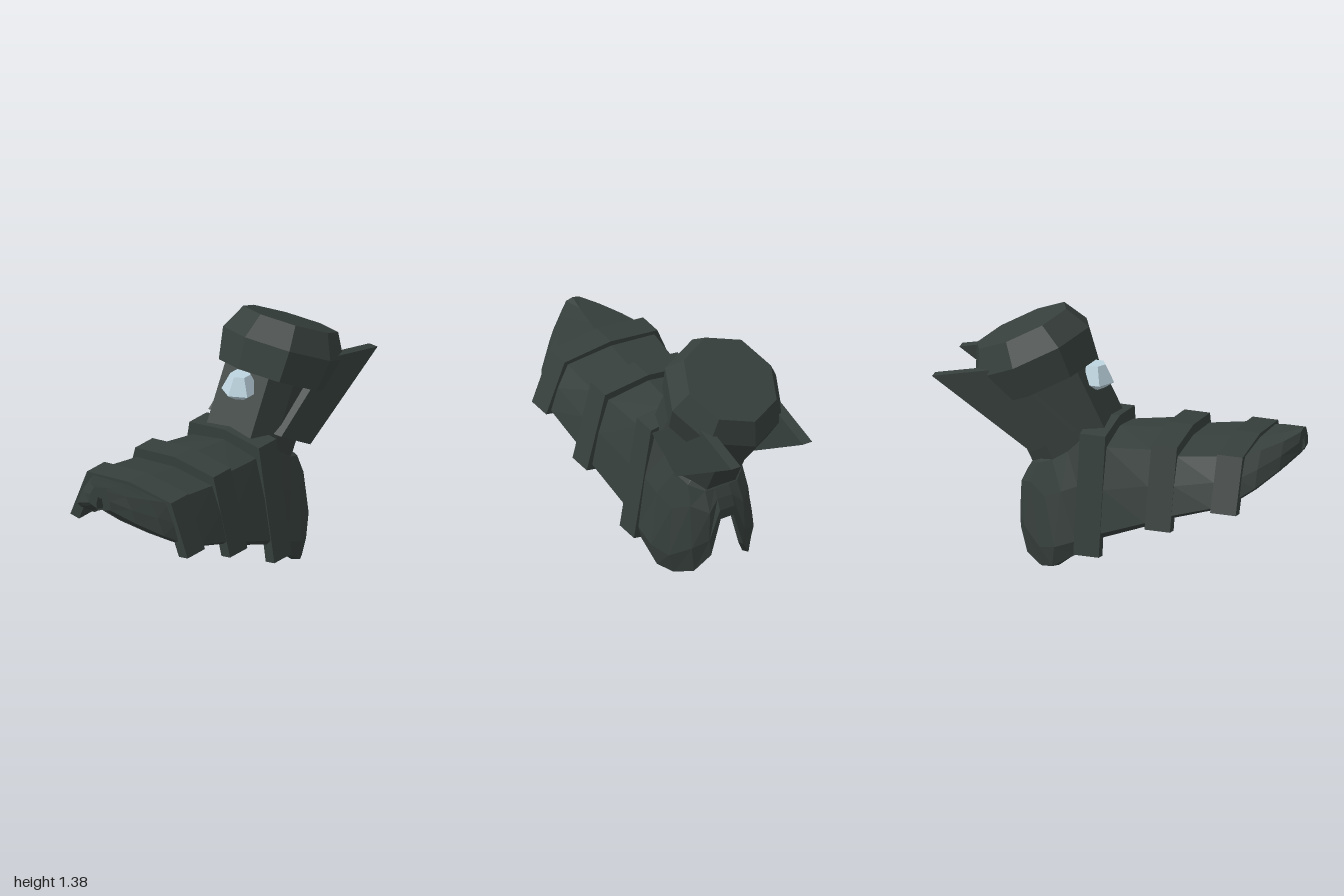
import * as THREE from 'three';

export function createModel() {
  const model = new THREE.Group();
  const steel = new THREE.MeshStandardMaterial({ color: 0x363f3c, flatShading: true, side: THREE.DoubleSide });
  steel.name = 'darkSteel';
  const ice = new THREE.MeshStandardMaterial({ color: 0xbcd3de, flatShading: true });
  ice.name = 'paleCrystal';

  const add = (geometry, material, name, parent = model) => {
    const mesh = new THREE.Mesh(geometry, material);
    mesh.name = name;
    parent.add(mesh);
    return mesh;
  };
  const outline = (points) => new THREE.Shape(points.map(([x, y]) => new THREE.Vector2(x, y)));
  const extrude = (points, depth) => new THREE.ExtrudeGeometry(outline(points), { depth, bevelEnabled: false });

  // Straight ribs of the foot: z, crown height, shoulder x, widest x, rim height
  const rib = (z, top, shoulder, wide, low) => {
    const h = top - low;
    return [[0, top, z], [shoulder, top - h * 0.08, z], [(shoulder + wide) / 2 + 0.01, top - h * 0.5, z],
      [wide, low + h * 0.06, z], [wide - 0.025, low, z]];
  };
  const ribs = [
    rib(1, 0.88, 0.04, 0.075, 0.76),
    rib(0.93, 0.85, 0.12, 0.19, 0.69),
    rib(0.83, 0.82, 0.2, 0.3, 0.61),
    rib(0.74, 0.79, 0.26, 0.35, 0.55),
    rib(0.61, 0.79, 0.27, 0.375, 0.49),
    rib(0.38, 0.76, 0.26, 0.36, 0.41),
    rib(0.23, 0.785, 0.25, 0.35, 0.34),
    rib(-0.03, 0.76, 0.22, 0.32, 0.23),
    [[0, 0.76, -0.17], [0.22, 0.74, -0.17], [0.28, 0.5, -0.17], [0.32, 0.2, -0.17], [0.3, 0.12, -0.17]],
    // Heel ribs drop almost straight from the ankle to the rim
    [[0, 0.74, -0.25], [0.21, 0.66, -0.25], [0.265, 0.45, -0.27], [0.315, 0.15, -0.29], [0.29, 0.03, -0.31]],
    [[0, 0.7, -0.28], [0.2, 0.6, -0.34], [0.235, 0.4, -0.37], [0.265, 0.12, -0.39], [0.235, 0.005, -0.39]],
    [[0, 0.68, -0.3], [0.17, 0.56, -0.43], [0.18, 0.45, -0.47], [0.19, 0.2, -0.5], [0.17, 0.045, -0.49]],
    [[0, 0.66, -0.36], [0.1, 0.53, -0.49], [0.105, 0.42, -0.545], [0.11, 0.25, -0.55], [0.1, 0.155, -0.55]],
    [[0, 0.66, -0.38], [0.045, 0.53, -0.495], [0.045, 0.48, -0.525], [0.045, 0.42, -0.55], [0.04, 0.365, -0.55]],
    [[0, 0.66, -0.38], [0, 0.53, -0.495], [0, 0.48, -0.525], [0, 0.42, -0.55], [0, 0.365, -0.55]],
  ];

  // Half shell with an inner wall that thickens towards the toe; mirrored for the other side
  const halfShell = (side) => {
    const loops = ribs.map((r) => {
      const inner = r.map(([x, y, z], j) => {
        const k = 0.88 - Math.max(0, z - 0.7) * 1.9;
        return [x * k, y - 0.065 * (1 - j / 4), z < -0.24 ? z + 0.03 : z];
      });
      return [...r, ...inner.reverse()];
    });
    const n = loops[0].length;
    const index = [];
    const quad = (a, b, c, d) => index.push(...(side > 0 ? [a, b, c, b, d, c] : [a, c, b, b, c, d]));
    for (let i = 0; i < loops.length - 1; i++) {
      for (let j = 0; j < n - 1; j++) {
        quad(i * n + j, i * n + j + 1, (i + 1) * n + j, (i + 1) * n + j + 1);
      }
    }
    // Front edge of the toe
    for (let j = 0; j < 4; j++) quad(n - 1 - j, n - 2 - j, j, j + 1);
    const geometry = new THREE.BufferGeometry();
    geometry.setAttribute('position',
      new THREE.Float32BufferAttribute(loops.flat().flatMap(([x, y, z]) => [x * side, y, z]), 3));
    geometry.setIndex(index);
    geometry.computeVertexNormals();
    return geometry;
  };
  add(halfShell(1), steel, 'leftFootShell');
  add(halfShell(-1), steel, 'rightFootShell');

  // Arched bands over the foot: back z, shoulder x, foot x, foot y
  const bands = [[0.615, 0.29, 0.405, 0.49], [0.24, 0.27, 0.385, 0.34], [-0.172, 0.24, 0.347, 0.13]];
  bands.forEach(([z, shoulder, foot, low], i) => {
    const right = [[foot, low + 0.005], [shoulder, 0.785]];
    const under = [[shoulder - 0.04, 0.72], [foot - 0.06, low - 0.005]];
    const flip = (list) => list.map(([x, y]) => [-x, y]).reverse();
    const geometry = extrude([...right, [0, 0.818], ...flip(right), ...flip(under), [0, 0.75], ...under], 0.143);
    geometry.translate(0, 0, z);
    add(geometry, steel, 'footBand' + (i + 1));
  });

  // Shin leaning backwards, with the origin at the middle of its top
  const shin = new THREE.Group();
  shin.name = 'shin';
  shin.position.set(0, 1.26, -0.58);
  shin.rotation.x = -0.468;
  model.add(shin);
  const cuffProfile = [[0, -0.29], [0.25, -0.29], [0.325, -0.31], [0.356, -0.135], [0.28, 0], [0, 0]];
  const cuff = add(new THREE.LatheGeometry(cuffProfile.map(([r, y]) => new THREE.Vector2(r, y)), 8),
    steel, 'kneeCuff', shin);
  cuff.scale.x = 0.91;

  // Shaft with a broad flat front and a narrower back
  const shaft = extrude([[-0.15, -0.25], [0.15, -0.25], [0.21, -0.1], [0.2, 0.08], [0.09, 0.245],
    [-0.09, 0.245], [-0.2, 0.08], [-0.21, -0.1]], 0.47);
  shaft.rotateX(-Math.PI / 2);
  shaft.translate(0, -0.75, 0);
  add(shaft, steel, 'shinShaft', shin);

  // Swept side plates, outlined in -z and y
  const wing = [[0.2, 0.79], [0.44, 0.65], [0.997, 1.013], [0.68, 1.085], [0.5, 1.02]];
  for (const side of [1, -1]) {
    const geometry = extrude(wing, 0.058);
    geometry.rotateY(Math.PI / 2);
    geometry.translate(side > 0 ? 0.194 : -0.252, 0, 0);
    add(geometry, steel, side > 0 ? 'leftWing' : 'rightWing');
  }

  // Cut crystal on the shin
  const gem = new THREE.LatheGeometry([[0, 0.96], [0.05, 0.965], [0.103, 1.003], [0.055, 1.098], [0, 1.098]]
    .map(([r, y]) => new THREE.Vector2(r, y)), 6);
  gem.translate(0, 0, -0.165);
  add(gem, ice, 'crystal');

  return model;
}
